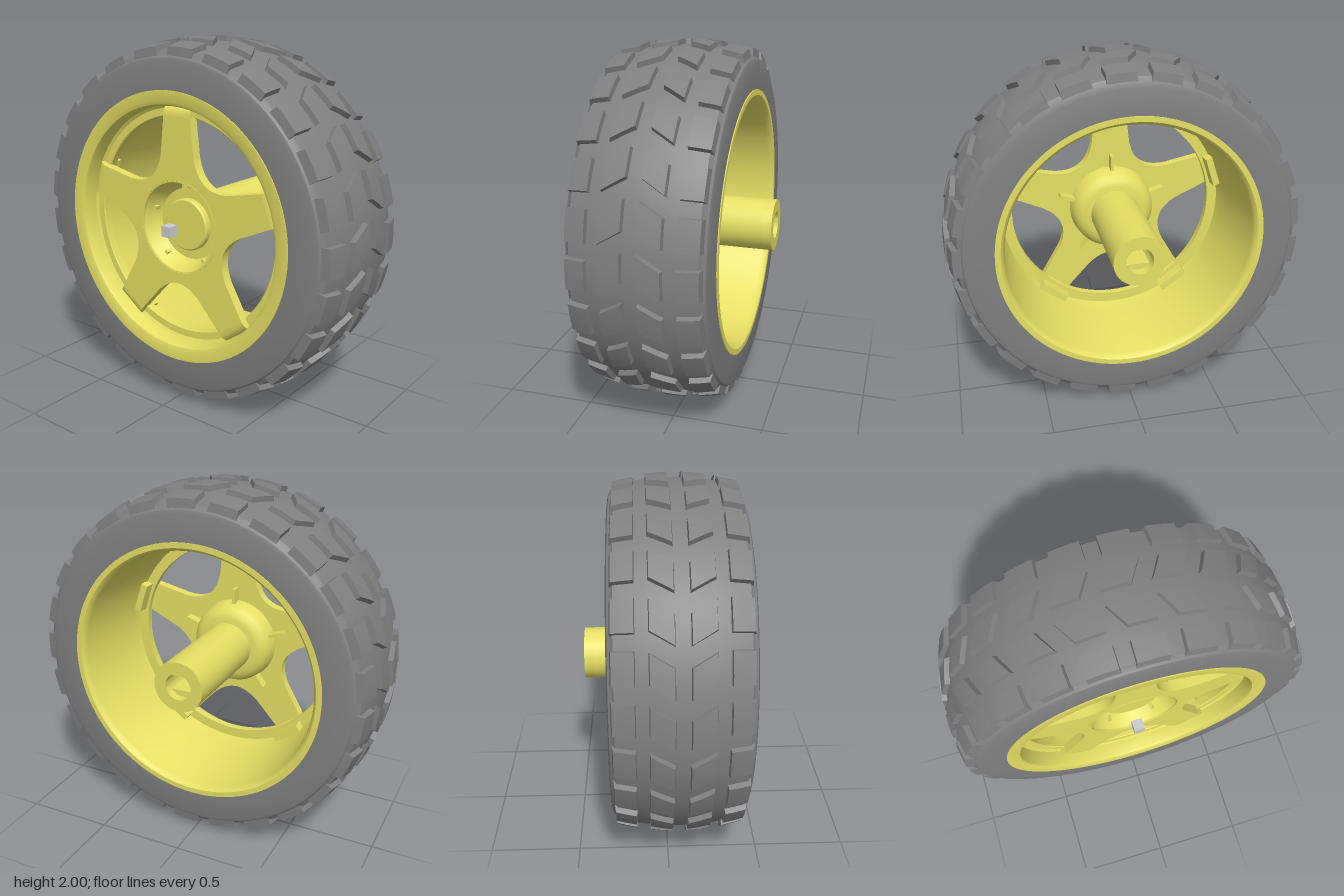
import * as THREE from 'three';
import { mergeGeometries, toCreasedNormals } from 'three/addons/utils/BufferGeometryUtils.js';

const MID = 0.055;      // middle of the tyre width along z
const HALF = 0.355;     // half of the tyre width
const TAU = Math.PI * 2;
const SPOKES = 5;

const rubber = new THREE.MeshStandardMaterial({ color: 0x808080 });
const plastic = new THREE.MeshStandardMaterial({ color: 0xe6de64 });
const grey = new THREE.MeshStandardMaterial({ color: 0xcccccc });

// Radius of the slightly rounded running surface at depth z
const crown = (z) => 0.975 - 0.05 * ((z - MID) / HALF) ** 2;

// Turns a [radius, z] profile around the axle
function turned(profile, segments = 96) {
  const points = profile.map(([r, z]) => new THREE.Vector2(r, z));
  const geometry = new THREE.LatheGeometry(points, segments).rotateX(Math.PI / 2);
  return toCreasedNormals(geometry, 0.5);
}

function part(name, geometry, material) {
  const mesh = new THREE.Mesh(geometry, material);
  mesh.name = name;
  return mesh;
}

// One tread block wrapped onto the crown, with chamfered top edges
function treadBlock(angle, z0, width, length, slant) {
  const geometry = new THREE.BoxGeometry(1, 1, 1, 3, 1, 2);
  const p = geometry.attributes.position;
  for (let i = 0; i < p.count; i++) {
    const top = p.getY(i) > 0;
    const inset = top ? 0.014 : 0;
    const z = z0 + p.getZ(i) * (width - inset);
    const lean = slant * (Math.abs(z0 - MID) - Math.abs(z - MID));
    const theta = angle + lean - p.getX(i) * (length - inset);
    const r = crown(z) + (top ? 0.028 : -0.02);
    p.setXYZ(i, r * Math.cos(theta), r * Math.sin(theta), z);
  }
  return toCreasedNormals(geometry, 0.4);
}

function makeTread() {
  const blocks = [];
  const count = 25;
  for (let i = 0; i < count; i++) {
    const angle = (i / count) * TAU;
    for (const side of [-1, 1]) {
      blocks.push(treadBlock(angle, MID + side * 0.277, 0.12, 0.178, 0));
      blocks.push(treadBlock(angle + 0.035, MID + side * 0.097, 0.128, 0.16, 0.6));
    }
  }
  return mergeGeometries(blocks);
}

// Star-shaped plate: five tapering spokes joined by rounded valleys
function makeSpokePlate() {
  const at = (k, t, r) => {
    const a = Math.PI / 2 + (k * TAU) / SPOKES;
    return [r * Math.cos(a) - t * Math.sin(a), r * Math.sin(a) + t * Math.cos(a)];
  };
  const shape = new THREE.Shape();
  shape.moveTo(...at(0, -0.112, 0.4));
  for (let k = 0; k < SPOKES; k++) {
    shape.lineTo(...at(k, -0.09, 0.6));
    shape.lineTo(...at(k, 0.09, 0.6));
    shape.lineTo(...at(k, 0.112, 0.4));
    shape.quadraticCurveTo(...at(k + 0.5, 0, 0.25), ...at(k + 1, -0.112, 0.4));
  }
  shape.holes.push(new THREE.Path().absarc(0, 0, 0.25, 0, TAU, true));
  const geometry = new THREE.ExtrudeGeometry(shape, { depth: 0.055, bevelEnabled: false, curveSegments: 24 });
  return toCreasedNormals(geometry.translate(0, 0, 0.295), 0.5);
}

// Spoke end that curves back into the rim
function makeSpokeTip(angle) {
  const width = 0.18;
  const s = new THREE.Shape();
  s.moveTo(0.595, 0.295);
  s.lineTo(0.615, 0.28);
  s.lineTo(0.62, 0.2);
  s.lineTo(0.66, 0.2);
  s.lineTo(0.66, 0.3);
  s.quadraticCurveTo(0.655, 0.35, 0.595, 0.35);
  const geometry = new THREE.ExtrudeGeometry(s, { depth: width, bevelEnabled: false, curveSegments: 8 });
  geometry.translate(0, 0, -width / 2);
  const c = Math.cos(angle), n = Math.sin(angle);
  geometry.applyMatrix4(new THREE.Matrix4().makeBasis(
    new THREE.Vector3(c, n, 0), new THREE.Vector3(0, 0, 1), new THREE.Vector3(n, -c, 0)));
  return toCreasedNormals(geometry, 0.5);
}

// Length of axle tube; flat > 0 narrows the bore with two flats
function tubeSection(z0, z1, flat) {
  const bore = 0.075;
  const shape = new THREE.Shape().absarc(0, 0, 0.143, 0, TAU, false);
  const hole = new THREE.Path();
  if (flat) {
    const a = Math.asin(flat / bore);
    hole.absarc(0, 0, bore, -a, a, false);
    hole.absarc(0, 0, bore, Math.PI - a, Math.PI + a, false);
    hole.closePath();
  } else hole.absarc(0, 0, bore, 0, TAU, true);
  shape.holes.push(hole);
  const geometry = new THREE.ExtrudeGeometry(shape, { depth: z1 - z0, bevelEnabled: false, curveSegments: 32 });
  return toCreasedNormals(geometry.translate(0, 0, z0), 0.5);
}

export function createModel() {
  const model = new THREE.Group();
  model.name = 'wheel';
  const wheel = new THREE.Group();
  wheel.name = 'wheelAssembly';
  wheel.position.y = 1;
  model.add(wheel);

  // Tyre carcass with rounded shoulders
  const tyre = [[0.73, -0.3], [0.885, -0.3], [0.905, -0.293], [0.918, -0.275]];
  for (let i = -4; i <= 4; i++) {
    const z = MID + i * 0.08;
    tyre.push([crown(z), z]);
  }
  tyre.push([0.918, 0.385], [0.905, 0.403], [0.885, 0.41], [0.73, 0.41], [0.73, -0.3]);
  wheel.add(part('tyre', turned(tyre), rubber));
  wheel.add(part('tread', makeTread(), rubber));

  // Rim barrel with front lip and inner ring
  wheel.add(part('rim', turned([
    [0.742, -0.305], [0.742, 0.415], [0.685, 0.415], [0.668, 0.408], [0.66, 0.39],
    [0.66, 0.32], [0.645, 0.31], [0.605, 0.31], [0.6, 0.305], [0.6, 0.265], [0.66, 0.265],
    [0.675, 0.2], [0.69, -0.27], [0.7, -0.295], [0.712, -0.305], [0.742, -0.305],
  ]), plastic));

  // Spokes
  wheel.add(part('spokePlate', makeSpokePlate(), plastic));
  for (let k = 0; k < SPOKES; k++) {
    const angle = Math.PI / 2 + (k * TAU) / SPOKES;
    wheel.add(part('spokeTip', makeSpokeTip(angle), plastic));
    const rib = part('spokeRib', new THREE.BoxGeometry(0.12, 0.02, 0.06), plastic);
    rib.position.set(0.27 * Math.cos(angle), 0.27 * Math.sin(angle), 0.27);
    rib.rotation.z = angle;
    wheel.add(rib);
  }

  // Hub bowl: rounded collar behind, sloped recess and cap in front
  wheel.add(part('hubBowl', turned([
    [0, 0.17], [0.17, 0.17], [0.2, 0.178], [0.225, 0.2], [0.24, 0.23], [0.25, 0.295],
    [0.262, 0.3], [0.262, 0.352], [0.255, 0.352], [0.212, 0.265], [0.2, 0.25], [0.145, 0.25],
    [0.145, 0.28], [0.138, 0.288], [0, 0.288],
  ], 64), plastic));

  // Axle tube with keyed bore
  wheel.add(part('axleTube', mergeGeometries([
    tubeSection(-0.45, -0.4, 0), tubeSection(-0.4, 0.18, 0.04),
  ]), plastic));

  // Small block in front of the hub
  const block = part('centreBlock', new THREE.BoxGeometry(0.06, 0.06, 0.06), grey);
  block.position.z = 0.42;
  wheel.add(block);

  return model;
}
